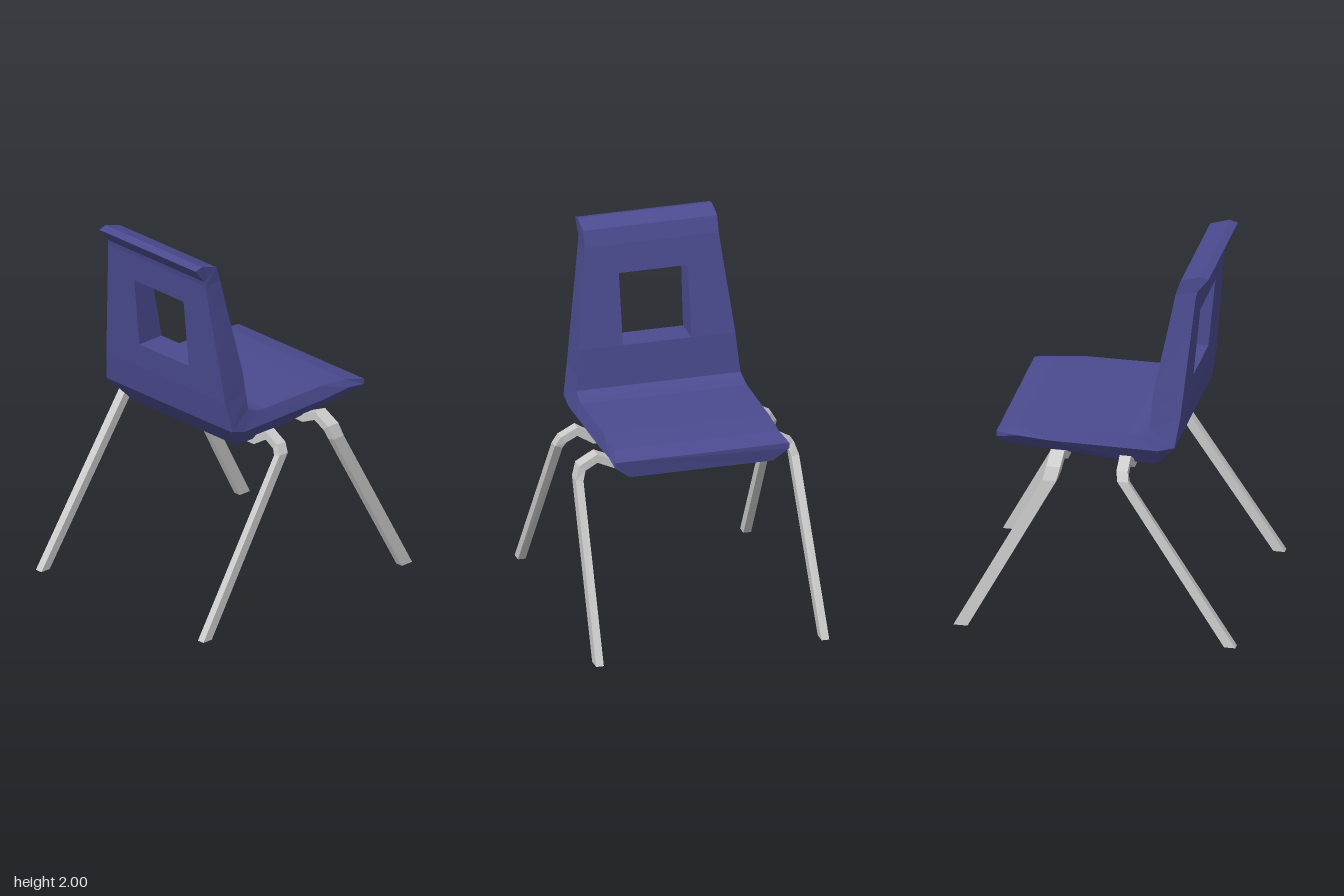
import * as THREE from 'three';

const plastic = new THREE.MeshStandardMaterial({ color: 0x4b4b90, flatShading: true });
const metal = new THREE.MeshStandardMaterial({ color: 0xcccccc, flatShading: true });

// Joins equal-sized rings of [x, y, z] points into a closed solid.
// Rings run counter-clockwise about the direction of travel.
function loft(name, rings, material) {
  const n = rings[0].length;
  const pos = [];
  const tri = (a, b, c) => pos.push(...a, ...b, ...c);
  for (let s = 0; s < rings.length - 1; s++) {
    for (let i = 0; i < n; i++) {
      const j = (i + 1) % n;
      const a = rings[s][i], b = rings[s][j], c = rings[s + 1][j], d = rings[s + 1][i];
      tri(a, b, c);
      tri(a, c, d);
    }
  }
  const first = rings[0], last = rings[rings.length - 1];
  for (let i = 1; i < n - 1; i++) {
    tri(first[0], first[i + 1], first[i]);
    tri(last[0], last[i], last[i + 1]);
  }
  const geometry = new THREE.BufferGeometry();
  geometry.setAttribute('position', new THREE.Float32BufferAttribute(pos, 3));
  geometry.computeVertexNormals();
  const mesh = new THREE.Mesh(geometry, material);
  mesh.name = name;
  return mesh;
}

// Shell station: inner, rim and outer points, each [x, y, halfWidth]
const fullRing = (pts) => [
  ...pts.map(([x, y, w]) => [x, y, w]),
  ...[...pts].reverse().map(([x, y, w]) => [x, y, -w]),
];

// Ring for a post beside the back opening
const postRing = (pts, side, gap) => {
  const wide = pts.map(([x, y, w]) => [x, y, side * w]);
  const near = pts.map(([x, y]) => [x, y, side * gap]);
  return side > 0 ? [...wide, ...near.reverse()] : [...near, ...wide.reverse()];
};

function createShell() {
  const shell = new THREE.Group();
  shell.name = 'seatShell';
  const holeTop = [[-0.35, 1.73, 0.382], [-0.473, 1.73, 0.387]];
  const holeBottom = [[-0.275, 1.35, 0.425], [-0.436, 1.35, 0.434]];

  // Rolled top edge of the backrest
  const top = [
    [[-0.51, 2.0, 0.365], [-0.555, 1.987, 0.365]],
    [[-0.407, 1.968, 0.365], [-0.495, 1.91, 0.365]],
    [[-0.378, 1.884, 0.365], [-0.488, 1.88, 0.369]],
    holeTop,
  ];
  shell.add(loft('backrestTop', top.map(fullRing), plastic));

  // Posts either side of the opening
  for (const side of [1, -1]) {
    const rings = [holeTop, holeBottom].map((p) => postRing(p, side, 0.187));
    shell.add(loft(side > 0 ? 'backrestPostLeft' : 'backrestPostRight', rings, plastic));
  }

  // Lower backrest flowing round into the seat
  const seat = [
    [holeBottom[0], holeBottom[1], holeBottom[1]],
    [[-0.262, 1.22, 0.437], [-0.423, 1.217, 0.45], [-0.423, 1.217, 0.45]],
    [[-0.254, 1.13, 0.447], [-0.397, 1.055, 0.475], [-0.397, 1.05, 0.473]],
    [[-0.205, 1.112, 0.45], [-0.307, 1.026, 0.475], [-0.286, 0.915, 0.39]],
    [[-0.148, 1.1, 0.45], [-0.14, 1.028, 0.475], [-0.14, 0.915, 0.39]],
    [[0.265, 1.1, 0.45], [0.265, 1.032, 0.475], [0.265, 0.945, 0.39]],
    [[0.444, 1.085, 0.45], [0.444, 1.045, 0.475], [0.444, 0.957, 0.39]],
    [[0.555, 1.06, 0.475], [0.555, 1.03, 0.475], [0.54, 0.964, 0.39]],
  ];
  shell.add(loft('seat', seat.map(fullRing), plastic));
  return shell;
}

// Bent flat bar: two legs and the crossbar under the seat.
// half: centre points [x, y, z] from foot to crossbar on the left side.
function createLegFrame(name, half, halfX, thickness) {
  const path = [...half, ...half.map(([x, y, z]) => [x, y, -z]).reverse()];
  const dir = (a, b) => new THREE.Vector2(b[2] - a[2], b[1] - a[1]).normalize();
  const rings = path.map((p, i) => {
    const before = dir(path[Math.max(i - 1, 0)], path[Math.max(i, 1)]);
    const k = Math.min(i, path.length - 2);
    const after = dir(path[k], path[k + 1]);
    const t = before.clone().add(after).normalize();
    const r = thickness / 2 / t.dot(after);
    // Feet are cut level with the floor
    const foot = i === 0 || i === path.length - 1;
    const nz = foot ? Math.sign(p[2]) * r : t.y * r;
    const ny = foot ? 0 : -t.x * r;
    const corner = (sx, sn) => [p[0] + sx * halfX, p[1] + sn * ny, p[2] + sn * nz];
    return [corner(-1, 1), corner(1, 1), corner(1, -1), corner(-1, -1)];
  });
  return loft(name, rings, metal);
}

export function createModel() {
  const model = new THREE.Group();
  model.name = 'chair';
  model.add(createShell());
  model.add(createLegFrame('frontLegs', [
    [0.712, 0, 0.614], [0.245, 0.86, 0.587], [0.228, 0.92, 0.567],
    [0.225, 0.965, 0.485], [0.225, 0.922, 0.39],
  ], 0.037, 0.042));
  model.add(createLegFrame('rearLegs', [
    [-0.726, 0.008, 0.614], [-0.148, 0.885, 0.583], [-0.138, 0.925, 0.56],
    [-0.136, 0.965, 0.485], [-0.136, 0.906, 0.39],
  ], 0.03, 0.042));
  return model;
}
